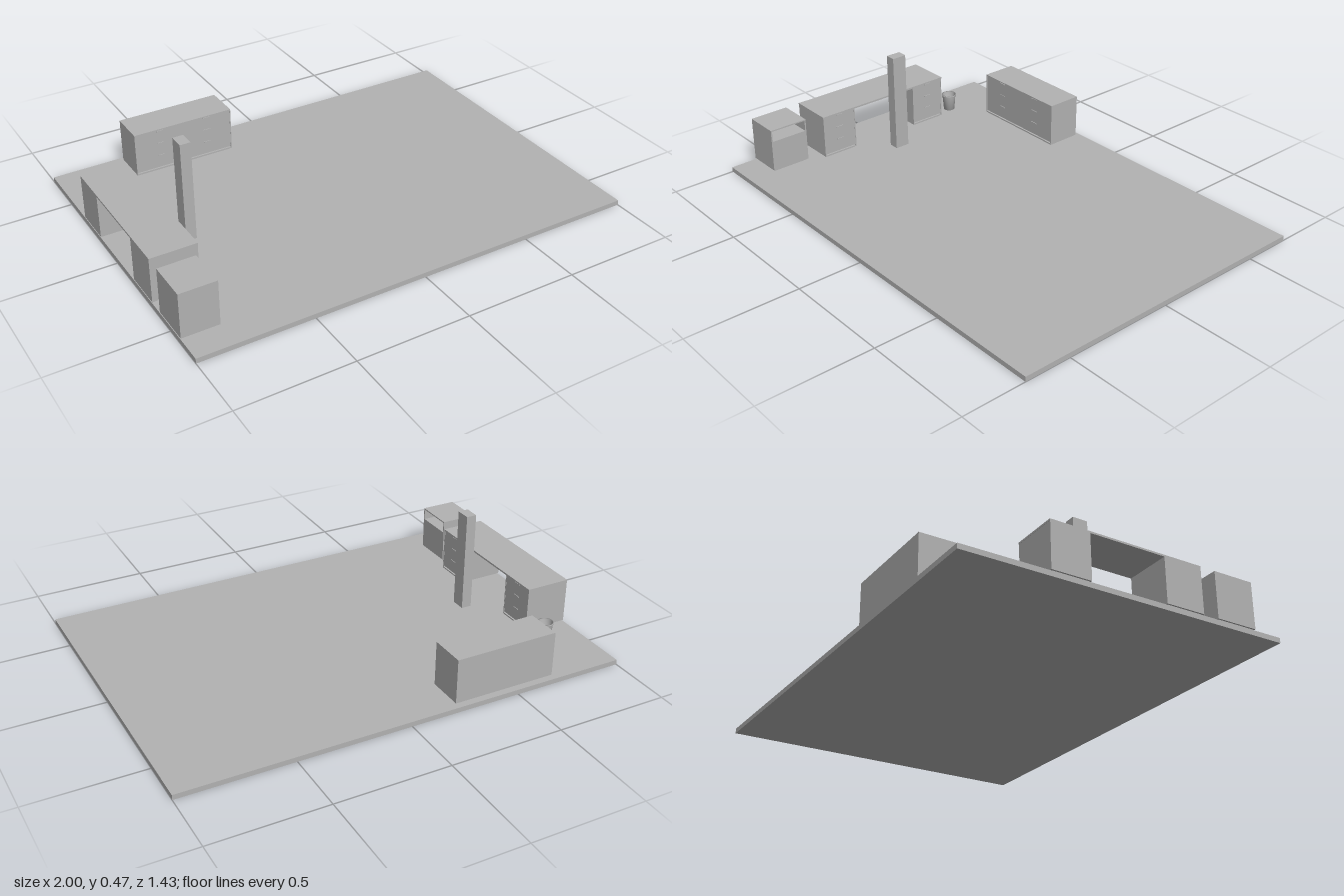
import * as THREE from 'three';

const grey = new THREE.MeshStandardMaterial({ color: 0xb2b2b2 });
grey.name = 'plain grey';
const greyOpen = grey;

const FLOOR = 0.022, TOP = 0.228;

// Box given by its limits on each axis
function box(parent, name, x0, x1, y0, y1, z0, z1) {
  const m = new THREE.Mesh(new THREE.BoxGeometry(x1 - x0, y1 - y0, z1 - z0), grey);
  m.position.set((x0 + x1) / 2, (y0 + y1) / 2, (z0 + z1) / 2);
  m.name = name;
  parent.add(m);
  return m;
}

// Drawer unit of width w and depth d, facing its own +z, centred on x and z
function drawerUnit(name, w, d, handleXs) {
  const g = new THREE.Group();
  g.name = name;
  const x = w / 2, z = d / 2;
  box(g, 'plinth', -x + 0.007, x - 0.007, FLOOR, 0.028, -z + 0.007, z - 0.007);
  box(g, 'bottomBoard', -x, x, 0.028, 0.034, -z, z);
  for (const s of [-1, 1]) {
    const a = s * x, b = s * (x - 0.005);
    box(g, 'side', Math.min(a, b), Math.max(a, b), 0.034, TOP - 0.006, -z, z);
  }
  box(g, 'drawerFronts', -x + 0.005, x - 0.005, 0.04, TOP - 0.006, -z, z - 0.001);
  box(g, 'shadowGap', -x + 0.005, x - 0.005, 0.034, 0.04, -z, z - 0.008);
  box(g, 'top', -x, x, TOP - 0.006, TOP, -z, z);
  // Slim pulls, one per drawer
  for (const hx of handleXs)
    for (const y of [0.098, 0.159, 0.219])
      box(g, 'handle', hx - 0.017, hx + 0.017, y - 0.002, y + 0.002, z - 0.002, z + 0.002);
  return g;
}

export function createModel() {
  const model = new THREE.Group();
  model.name = 'furnishedRoom';

  box(model, 'floor', -1, 1, 0, FLOOR, -0.714, 0.714);
  box(model, 'column', -0.712, -0.665, FLOOR, 0.475, -0.034, 0.034);

  // Wide dresser by the back edge
  const dresser = drawerUnit('dresser', 0.466, 0.161, [-0.113, 0.113]);
  dresser.position.set(-0.447, 0, -0.609);
  model.add(dresser);

  // Desk with two drawer pedestals, facing +x
  const desk = new THREE.Group();
  desk.name = 'desk';
  box(desk, 'deskTop', -1, -0.797, TOP - 0.007, TOP + 0.001, -0.341, 0.341);
  for (const s of [-1, 1]) {
    const pedestal = drawerUnit('pedestal', 0.172, 0.202, [0]);
    pedestal.rotation.y = Math.PI / 2;
    pedestal.position.set(-0.899, -0.0005, s * 0.254);
    desk.add(pedestal);
  }
  model.add(desk);

  // Nightstand with an open shelf above a plain door
  const stand = new THREE.Group();
  stand.name = 'nightstand';
  const [x0, x1, z0, z1] = [-1, -0.838, 0.409, 0.591];
  box(stand, 'plinth', x0 + 0.007, x1 - 0.007, FLOOR, 0.028, z0 + 0.007, z1 - 0.007);
  box(stand, 'cabinet', x0, x1, 0.028, 0.172, z0, z1);
  box(stand, 'back', x0, x0 + 0.006, 0.172, 0.222, z0, z1);
  box(stand, 'side', x0 + 0.006, x1, 0.172, 0.222, z0, z0 + 0.006);
  box(stand, 'side', x0 + 0.006, x1, 0.172, 0.222, z1 - 0.006, z1);
  box(stand, 'top', x0, x1, 0.222, TOP, z0, z1);
  model.add(stand);

  // Open tapered waste bin with a rolled rim
  const profile = [[0, 0], [0.026, 0], [0.032, 0.07], [0.035, 0.071], [0.035, 0.078],
    [0.030, 0.078], [0.024, 0.004], [0, 0.004]].map(p => new THREE.Vector2(...p));
  const bin = new THREE.Mesh(new THREE.LatheGeometry(profile, 32), greyOpen);
  bin.name = 'wasteBin';
  bin.position.set(-0.84, FLOOR, -0.42);
  model.add(bin);

  return model;
}
